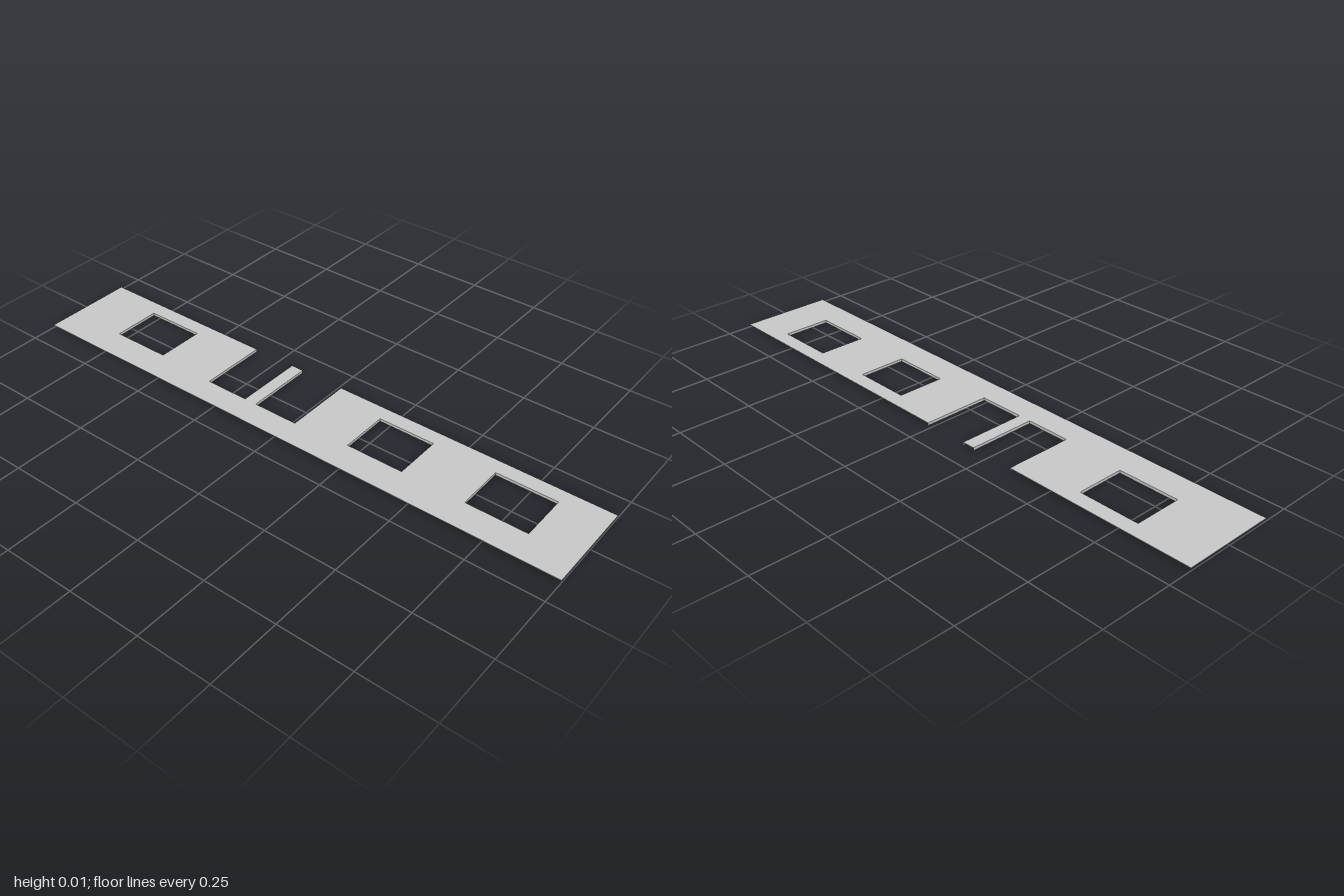
import * as THREE from 'three';

const TOP = 0.01;      // upper face of the sheet
const SHEET = 0.002;   // sheet thickness
const D = 0.164;       // half depth

// Openings, as [x, z] corners
const windows = [[-0.78, -0.57], [0.21, 0.41], [0.63, 0.84]].map(([a, b]) =>
  [[a, -0.11], [b, -0.11], [b, 0.06], [a, 0.06]]);
const notches = [[-0.345, -0.19], [-0.145, 0.015]].map(([a, b]) =>
  [[a, -D], [a, 0.075], [b, 0.075], [b, -D]]);

const toVectors = (points) => points.map(([x, z]) => new THREE.Vector2(x, -z));

export function createModel() {
  const group = new THREE.Group();
  const material = new THREE.MeshStandardMaterial({ color: 0xcccccc, side: THREE.DoubleSide, flatShading: true });

  const add = (name, geometry, parent = group) => {
    const mesh = new THREE.Mesh(geometry, material);
    mesh.name = name;
    parent.add(mesh);
    return mesh;
  };

  // Flat wall sheet with window holes and two door notches open to the back
  const shape = new THREE.Shape(toVectors([[-1, D], [-1, -D], ...notches.flat(), [1, -D], [1, D]]));
  shape.holes = windows.map((w) => new THREE.Path(toVectors(w)));
  const sheet = new THREE.ExtrudeGeometry(shape, { depth: SHEET, bevelEnabled: false });
  sheet.rotateX(-Math.PI / 2).translate(0, TOP - SHEET, 0);
  add('wallSheet', sheet);

  // Thin reveals hanging below the sheet around each opening
  const reveal = (name, points, closed) => {
    const frame = new THREE.Group();
    frame.name = name;
    const count = closed ? points.length : points.length - 1;
    for (let i = 0; i < count; i++) {
      const [x0, z0] = points[i];
      const [x1, z1] = points[(i + 1) % points.length];
      const side = add('revealSide', new THREE.PlaneGeometry(Math.hypot(x1 - x0, z1 - z0), TOP), frame);
      side.position.set((x0 + x1) / 2, TOP / 2, (z0 + z1) / 2);
      side.rotation.y = -Math.atan2(z1 - z0, x1 - x0);
    }
    group.add(frame);
  };
  windows.forEach((w) => reveal('windowReveal', w, true));
  notches.forEach((n) => reveal('doorReveal', n, false));

  return group;
}
